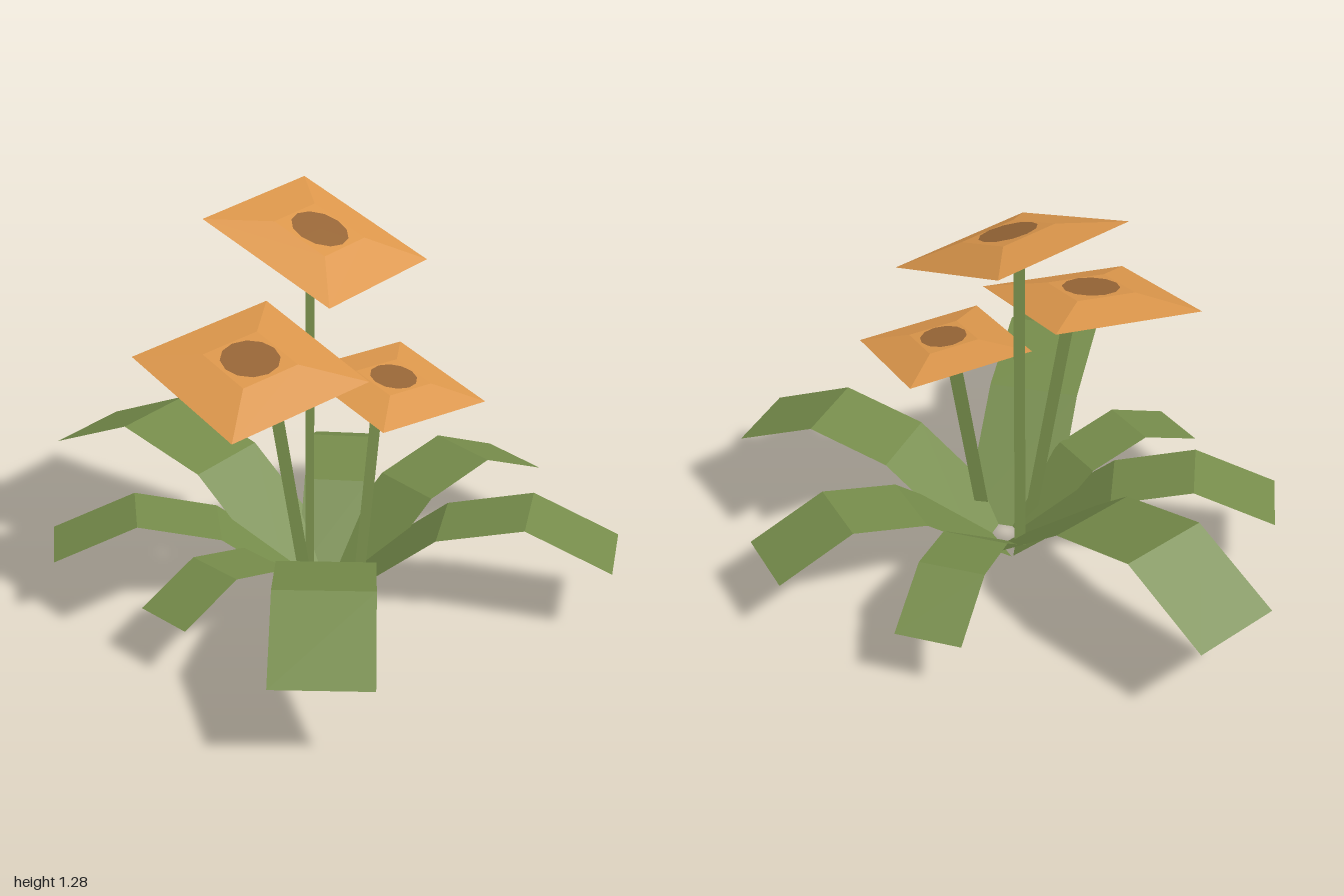
import * as THREE from 'three';

const mat = (name, color) => Object.assign(
  new THREE.MeshStandardMaterial({ color, side: THREE.DoubleSide, flatShading: true }), { name });

const green = mat('leafGreen', 0x758b4a);
const orange = mat('petalOrange', 0xdb964b);
const brown = mat('centreBrown', 0x966536);

const CENTRE = [0.033, 0.08];      // x, z of the rosette

function mesh(name, geometry, material) {
  const flat = geometry.index ? geometry.toNonIndexed() : geometry;
  flat.computeVertexNormals();
  const m = new THREE.Mesh(flat, material);
  m.name = name;
  return m;
}

// Folded strip: rises from the base, arches over and droops at the tip
function leaf([tipX, tipZ, width, peak]) {
  const dx = tipX - CENTRE[0], dz = tipZ - CENTRE[1];
  const reach = Math.hypot(dx, dz);
  const along = [0.04, 0.4 * reach, 0.7 * reach, reach];
  const height = [0, 0.795 * peak, peak, 0.635 * peak];
  const g = new THREE.PlaneGeometry(width, 1, 1, 3).rotateX(-Math.PI / 2);
  const p = g.attributes.position;
  for (let i = 0; i < p.count; i++) {
    const row = Math.floor(i / 2);
    p.setY(i, height[row]);
    p.setZ(i, along[row]);
  }
  const m = mesh('leaf', g, green);
  m.rotation.y = Math.atan2(dx, dz);
  m.position.set(CENTRE[0], 0, CENTRE[1]);
  return m;
}

// Flat ribbon stem from base to top, widened along the flower's sideways axis
function stem(base, top, side) {
  const g = new THREE.PlaneGeometry(1, 1);
  const p = g.attributes.position;
  const across = new THREE.Vector3(side.x, 0, side.z).normalize();
  const a = new THREE.Vector3(...base), b = new THREE.Vector3(...top);
  for (let i = 0; i < p.count; i++) {
    const v = (p.getY(i) > 0 ? b : a).clone().addScaledVector(across, p.getX(i) * 0.048);
    p.setXYZ(i, v.x, v.y, v.z);
  }
  return mesh('stem', g, green);
}

// Shallow open square dome with a dark round centre, in unit width
function bloom(size, centre, side, front) {
  const group = new THREE.Group();
  group.name = 'bloom';
  const inner = 0.4, rise = 0.073, r = Math.SQRT1_2;
  const petals = new THREE.CylinderGeometry(r * inner, r, rise, 4, 1, true)
    .rotateY(Math.PI / 4).translate(0, rise / 2, 0);
  const top = new THREE.PlaneGeometry(inner, inner).rotateX(-Math.PI / 2).translate(0, rise, 0);
  group.add(mesh('petals', petals, orange), mesh('petalTop', top, orange));
  for (const s of [1, -1]) {
    const disc = new THREE.CircleGeometry(0.18, 12).rotateX(-s * Math.PI / 2)
      .translate(0, rise + s * 0.006, 0);
    group.add(mesh('flowerCentre', disc, brown));
  }
  const up = front.clone().cross(side).normalize();
  const z = side.clone().cross(up).normalize();
  group.quaternion.setFromRotationMatrix(new THREE.Matrix4().makeBasis(side, up, z));
  group.scale.setScalar(size);
  group.position.set(...centre);
  return group;
}

export function createModel() {
  const model = new THREE.Group();
  model.name = 'floweringPlant';

  // Leaves: tip x, tip z, width, peak height
  const leaves = [
    [0.033, -1.0, 0.308, 0.414],
    [-0.825, 0.69, 0.312, 0.393],
    [0.434, 0.934, 0.272, 0.337],
    [0.876, 0.28, 0.25, 0.31],
    [0.70, -0.333, 0.218, 0.277],
    [-0.591, -0.577, 0.243, 0.307],
    [-0.695, -0.016, 0.2, 0.257],
  ];
  leaves.forEach((l) => model.add(leaf(l)));

  // Flowers: bloom tilt given by its sideways and forward axes
  const flowers = [
    { size: 0.522, centre: [0.067, 1.192, 0], side: [1, 0, 0], front: [0, -0.342, 0.94],
      base: [0.035, 0, 0], top: [0.035, 1.215, 0] },
    { size: 0.525, centre: [-0.267, 0.862, -0.005], side: [0.5, 0.059, 0.137],
      front: [-0.122, -0.108, 0.508], base: [-0.055, 0, 0.06], top: [-0.222, 0.885, 0.027] },
    { size: 0.426, centre: [0.14, 0.73, 0.25], side: [0.412, -0.015, 0.108],
      front: [-0.105, -0.065, 0.408], base: [0.02, 0, 0.21], top: [0.16, 0.75, 0.19] },
  ];
  for (const f of flowers) {
    const side = new THREE.Vector3(...f.side).normalize();
    const front = new THREE.Vector3(...f.front).normalize();
    const flower = new THREE.Group();
    flower.name = 'flower';
    flower.add(stem(f.base, f.top, side), bloom(f.size, f.centre, side, front));
    model.add(flower);
  }
  return model;
}
